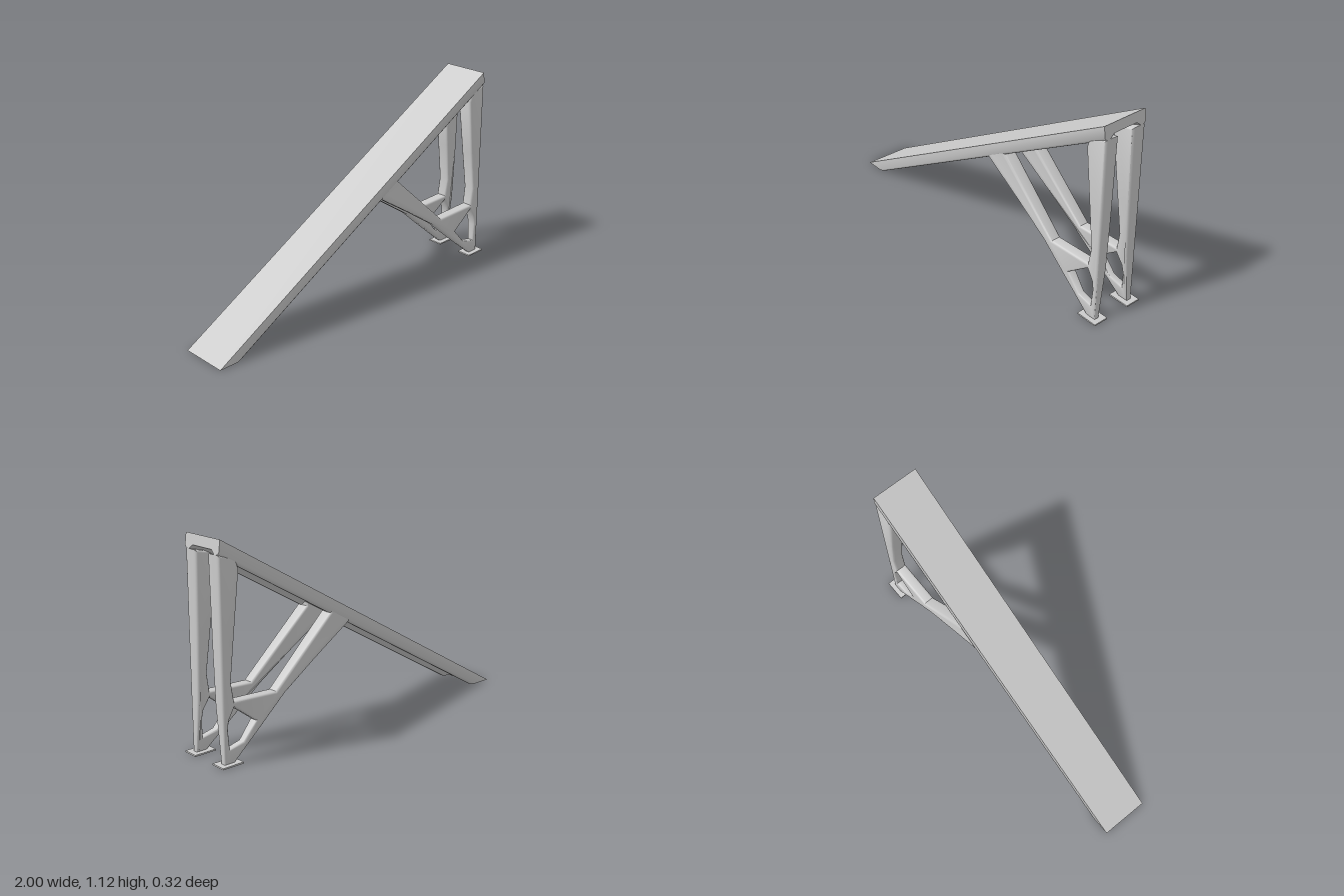
import * as THREE from 'three';
import { toCreasedNormals } from 'three/addons/utils/BufferGeometryUtils.js';

const HALF = 0.135; // half width of the ramp
const lerp = THREE.MathUtils.lerp;
const material = new THREE.MeshStandardMaterial({ color: 0xcccccc });
const toPoints = (list) => list.map(([x, y]) => new THREE.Vector2(x, y));

// Moves every vertex by a rule, then smooths all but the sharp edges
function reshape(geometry, rule) {
  const p = geometry.attributes.position;
  for (let i = 0; i < p.count; i++) p.setXYZ(i, ...rule(p.getX(i), p.getY(i), p.getZ(i)));
  return toCreasedNormals(geometry, 0.7);
}

function addMesh(parent, name, geometry) {
  const mesh = new THREE.Mesh(geometry, material);
  mesh.name = name;
  parent.add(mesh);
  return mesh;
}

// Sloping plank: cross-section (width, depth 0 to -1) swept between two mitred ends
function rampGeometry() {
  const half = [[HALF, 0], [HALF, -0.8], [0.127, -0.95], [0.115, -1], [0.1, -1], [0.075, -0.72]];
  const mirrored = half.map(([x, y]) => [-x, y]).reverse();
  const section = new THREE.Shape(toPoints([...half, ...mirrored]));
  const geometry = new THREE.ExtrudeGeometry(section, { depth: 1, bevelEnabled: false });
  return reshape(geometry, (u, v, w) => [
    lerp(-1 - 0.14 * v, 0.96 - 0.01 * v, w),
    lerp(0, 1.125 + 0.075 * v, w),
    -u,
  ]);
}

// Inner face of a leg frame: the frame gets thinner towards the foot
function innerZ(y) {
  if (y > 0.3) return lerp(0.068, 0.045, Math.min(1, (y - 0.3) / 0.6));
  return lerp(0.1, 0.068, Math.max(0, y) / 0.3);
}

// Upright post, diagonal brace and cross arm as one pierced plate
function frameGeometry(side) {
  const outline = new THREE.Shape(toPoints([
    [0.97, 0.005], [0.972, 0.3], [0.972, 0.6], [0.97, 1.05], [0.87, 1.03], [0.85, 0.97],
    [0.888, 0.65], [0.915, 0.42], [0.9, 0.32], [0.64, 0.31], [0.27, 0.65], [0.27, 0.69],
    [0.14, 0.62], [0.14, 0.58], [0.38, 0.425], [0.58, 0.29], [0.74, 0.15], [0.91, 0.005],
  ]));
  outline.holes.push(new THREE.Path(toPoints([
    [0.77, 0.19], [0.9, 0.29], [0.935, 0.23], [0.942, 0.18], [0.935, 0.08], [0.85, 0.1],
  ])));
  const bevel = 0.012;
  const geometry = new THREE.ExtrudeGeometry(outline, {
    depth: 1 - 0.4, bevelThickness: 0.2, bevelSize: bevel, bevelOffset: -bevel, bevelSegments: 3,
  });
  return reshape(geometry, (x, y, z) => {
    const t = z + 0.2;
    const inner = innerZ(y);
    const thickness = HALF - 0.002 - inner;
    return [x, y, (side > 0 ? inner : -HALF + 0.002) + t * thickness];
  });
}

export function createModel() {
  const model = new THREE.Group();
  model.name = 'supportedRamp';
  addMesh(model, 'ramp', rampGeometry());

  // One frame and foot plate on each side
  for (const side of [1, -1]) {
    const support = new THREE.Group();
    support.name = side > 0 ? 'frontSupport' : 'backSupport';
    addMesh(support, 'legFrame', frameGeometry(side));
    const foot = addMesh(support, 'footPlate', new THREE.BoxGeometry(0.125, 0.008, 0.087));
    foot.position.set(0.9375, 0.004, side * 0.115);
    model.add(support);
  }
  return model;
}
